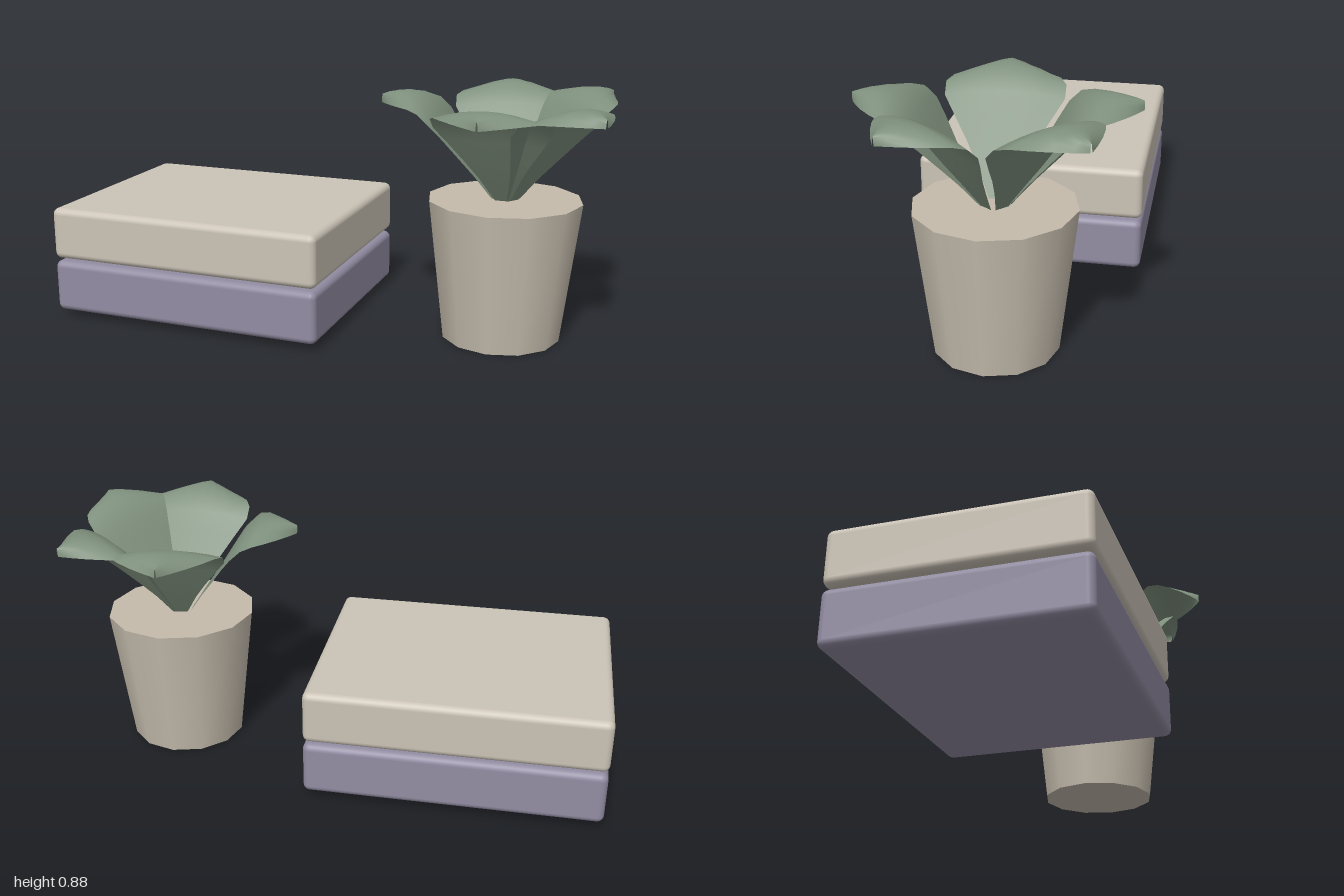
import * as THREE from 'three';
import { RoundedBoxGeometry } from 'three/addons/geometries/RoundedBoxGeometry.js';

const CREAM = 0xcbc3b6, PURPLE = 0x928ca2, CLAY = 0xc4bbac, GREEN = 0x80917e;

function part(name, geometry, color, side = THREE.FrontSide) {
  const mesh = new THREE.Mesh(geometry, new THREE.MeshStandardMaterial({ color, side }));
  mesh.name = name;
  return mesh;
}

// Leaf running out along +x. Rows: [reach, midrib height, half width, edge droop]
const LEAF_ROWS = [
  [0.025, 0.49, 0.014, 0],
  [0.05, 0.525, 0.034, 0],
  [0.10, 0.60, 0.072, 0],
  [0.15, 0.675, 0.115, 0.005],
  [0.20, 0.755, 0.165, 0.012],
  [0.24, 0.818, 0.202, 0.022],
  [0.28, 0.858, 0.203, 0.025],
  [0.32, 0.877, 0.182, 0.033],
  [0.36, 0.884, 0.145, 0.04],
  [0.40, 0.882, 0.098, 0.04],
  [0.435, 0.875, 0.047, 0.036],
  [0.46, 0.866, 0.004, 0.03],
];

function leafGeometry(reachScale) {
  const cols = 8, positions = [], index = [];
  LEAF_ROWS.forEach(([reach, y, half, droop], r) => {
    for (let c = 0; c <= cols; c++) {
      const s = (c / cols) * 2 - 1;
      const out = r > 6 ? 0.28 + (reach - 0.28) * reachScale : reach;
      positions.push(out, y - droop * s * s, s * half);
      if (r && c) {
        const d = r * (cols + 1) + c, b = d - cols - 1;
        index.push(b - 1, b, d, b - 1, d, d - 1);
      }
    }
  });
  const geometry = new THREE.BufferGeometry();
  geometry.setAttribute('position', new THREE.Float32BufferAttribute(positions, 3));
  geometry.setIndex(index);
  geometry.computeVertexNormals();
  return geometry;
}

export function createModel() {
  const model = new THREE.Group();

  // Two stacked books
  [['lowerBook', 0.123, PURPLE], ['upperBook', 0.328, CREAM]].forEach(([name, y, color]) => {
    const book = part(name, new RoundedBoxGeometry(1.06, 0.195, 0.85, 4, 0.025), color);
    book.position.set(-0.47, y, -0.004);
    model.add(book);
  });

  // Potted plant
  const plant = new THREE.Group();
  plant.name = 'pottedPlant';
  plant.position.x = 0.622;
  const pot = part('pot', new THREE.CylinderGeometry(0.276, 0.215, 0.512, 12), CLAY);
  pot.position.y = 0.256;
  plant.add(pot);

  // Unevenly turned leaves: [heading in degrees from +x towards +z, tip stretch]
  [[176, 0.96], [260, 1.05], [312, 1.05], [36, 1.0], [90, 1.0]].forEach(([deg, stretch], i) => {
    const leaf = part('leaf' + (i + 1), leafGeometry(stretch), GREEN, THREE.DoubleSide);
    leaf.rotation.y = -THREE.MathUtils.degToRad(deg);
    plant.add(leaf);
  });
  model.add(plant);

  return model;
}
